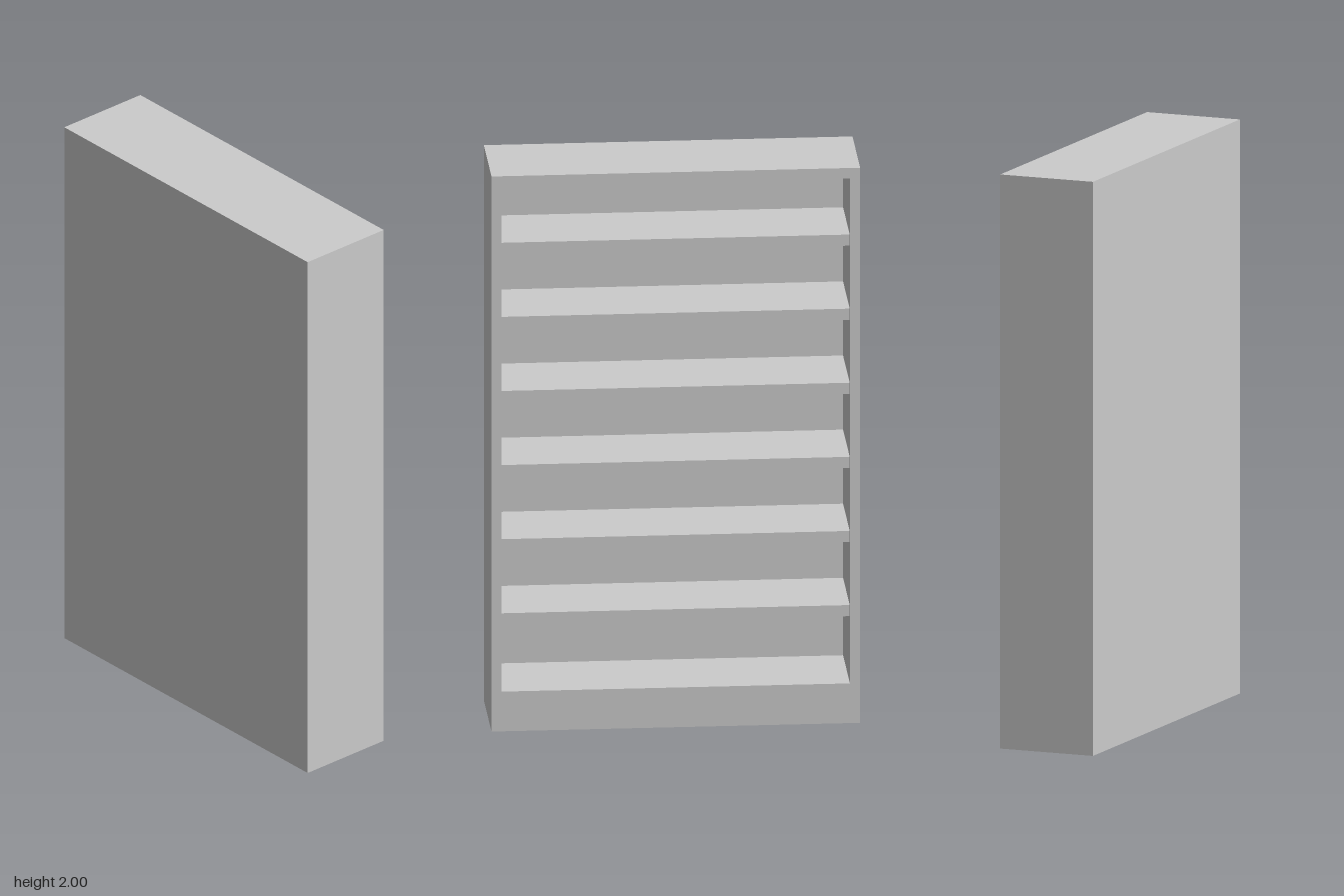
import * as THREE from 'three';

const HEIGHT = 2, WIDTH = 1.266, DEPTH = 0.346; // width runs along z, depth along x
const SIDE = 0.035, TOP = 0.037, PLINTH = 0.143, BACK = 0.035;
const SHELF = 0.04, SHELF_STEP = 0.267, FIRST_SHELF = 0.402, SETBACK = 0.01;

function rectangle(PathType, z0, y0, z1, y1) {
  return new PathType([[z0, y0], [z1, y0], [z1, y1], [z0, y1]].map(p => new THREE.Vector2(...p)));
}

export function createModel() {
  const model = new THREE.Group();
  model.name = 'bookcase';
  const material = new THREE.MeshStandardMaterial({ color: 0xcccccc });

  const add = (geometry, name, x, y) => {
    const mesh = new THREE.Mesh(geometry, material);
    mesh.name = name;
    mesh.position.set(x, y, 0);
    model.add(mesh);
    return mesh;
  };

  // Carcass: sides, top and solid plinth around one opening that faces +x
  const inner = WIDTH / 2 - SIDE;
  const outline = rectangle(THREE.Shape, -WIDTH / 2, 0, WIDTH / 2, HEIGHT);
  outline.holes.push(rectangle(THREE.Path, -inner, PLINTH, inner, HEIGHT - TOP));
  const carcass = new THREE.ExtrudeGeometry(outline, { depth: DEPTH - BACK, bevelEnabled: false });
  carcass.rotateY(Math.PI / 2);
  add(carcass, 'carcass', -DEPTH / 2 + BACK, 0);

  // Back panel closes the -x side
  add(new THREE.BoxGeometry(BACK, HEIGHT, WIDTH), 'backPanel', (BACK - DEPTH) / 2, HEIGHT / 2);

  // Six evenly spaced shelves, set slightly back from the opening
  const shelfDepth = DEPTH - BACK - SETBACK;
  const shelf = new THREE.BoxGeometry(shelfDepth, SHELF, inner * 2);
  for (let i = 0; i < 6; i++) {
    add(shelf, `shelf${i + 1}`, (BACK - SETBACK) / 2, FIRST_SHELF + i * SHELF_STEP);
  }
  return model;
}
